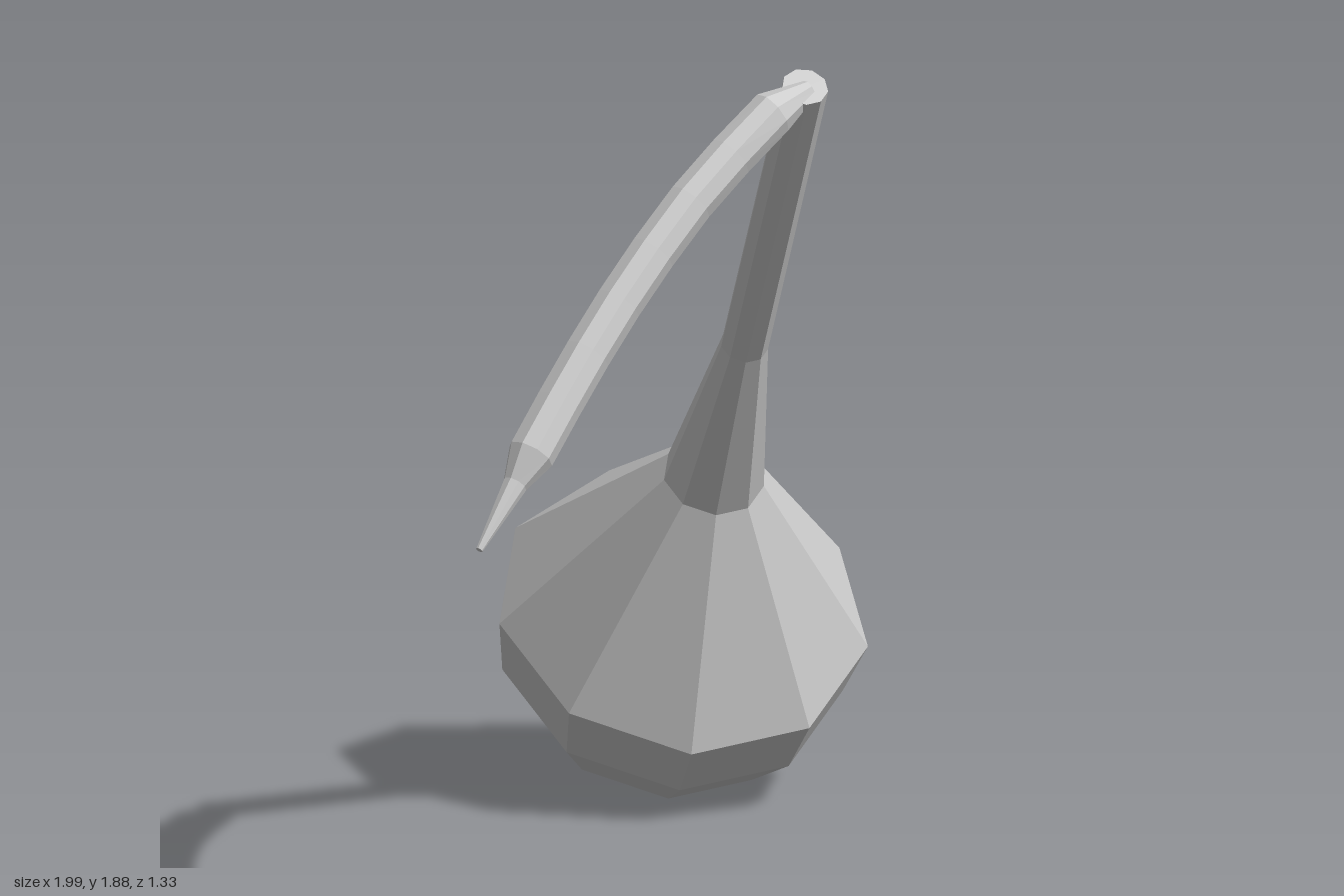
import * as THREE from 'three';

const SIDES = 9;
const V = (x, y, z) => new THREE.Vector3(x, y, z);

// Faceted skin through round sections [centre, radius]; side points along `ref`.
function loft(name, sections, ref, material) {
  const positions = [], index = [];
  sections.forEach(([centre, radius], i) => {
    const before = sections[Math.max(i - 1, 0)][0];
    const after = sections[Math.min(i + 1, sections.length - 1)][0];
    const dir = after.clone().sub(before).normalize();
    const u = ref.clone().addScaledVector(dir, -ref.dot(dir)).normalize();
    const v = dir.clone().cross(u);
    for (let j = 0; j < SIDES; j++) {
      const a = (j / SIDES) * Math.PI * 2;
      const p = centre.clone()
        .addScaledVector(u, Math.cos(a) * radius)
        .addScaledVector(v, Math.sin(a) * radius);
      positions.push(p.x, p.y, p.z);
    }
  });
  for (let i = 0; i < sections.length - 1; i++) {
    for (let j = 0; j < SIDES; j++) {
      const k = (j + 1) % SIDES;
      const a = i * SIDES + j, b = i * SIDES + k;
      const c = b + SIDES, d = a + SIDES;
      if (sections[i][1] > 0) index.push(a, b, c);
      if (sections[i + 1][1] > 0) index.push(a, c, d);
      else if (sections[i][1] > 0) continue;
    }
  }
  const geometry = new THREE.BufferGeometry();
  geometry.setAttribute('position', new THREE.Float32BufferAttribute(positions, 3));
  geometry.setIndex(index);
  const flat = geometry.toNonIndexed();
  flat.computeVertexNormals();
  const mesh = new THREE.Mesh(flat, material);
  mesh.name = name;
  return mesh;
}

export function createModel() {
  const group = new THREE.Group();
  group.name = 'bulbWithBentStem';
  const material = new THREE.MeshStandardMaterial({ color: 0xcccccc, flatShading: true });

  // Bulb and stem share one straight slanted axis
  const top = V(-0.015, 1.85, 0.625);
  const bulbCentre = V(0.583, 0.415, -0.257);
  const axis = bulbCentre.clone().sub(top).normalize();
  const length = bulbCentre.distanceTo(top);
  const R = 0.417;
  const at = (t, r) => [top.clone().addScaledVector(axis, t), r];
  const ref = V(0.84, 0.34, 0.05).sub(bulbCentre);

  // Stem: closed top, even shaft, flare towards the bulb
  group.add(loft('stem', [at(0, 0), at(0.0005, 0.052), at(0.88, 0.053), at(1.33, 0.113)], ref, material));

  // Bulb: cone shoulder, then a faceted half sphere
  const bulb = [at(1.33, 0.113)];
  for (let i = 0; i <= 4; i++) {
    const a = (i / 4) * Math.PI / 2;
    bulb.push(at(length + R * Math.sin(a), i === 4 ? 0 : R * Math.cos(a)));
  }
  group.add(loft('bulb', bulb, ref, material));

  // Arm: gently arched rod hanging from the stem's top
  const curve = new THREE.CatmullRomCurve3([
    V(-0.095, 1.8, 0.598), V(-0.29, 1.655, 0.558), V(-0.48, 1.485, 0.533),
    V(-0.65, 1.315, 0.521), V(-0.81, 1.145, 0.518),
  ]);
  const root = V(0.0, 1.842, 0.625);
  const arm = [[root, 0], [V(-0.001, 1.8415, 0.6248), 0.022]];
  for (const p of curve.getPoints(7)) arm.push([p, 0.053]);

  // Pointed end of the arm
  const tip = V(-0.99, 0.963, 0.525);
  arm.push([V(-0.865, 1.088, 0.52), 0.028], [tip, 0.008],
    [tip.clone().add(V(-0.0005, -0.0005, 0)), 0]);
  group.add(loft('arm', arm, V(0, 0, 1), material));

  return group;
}
